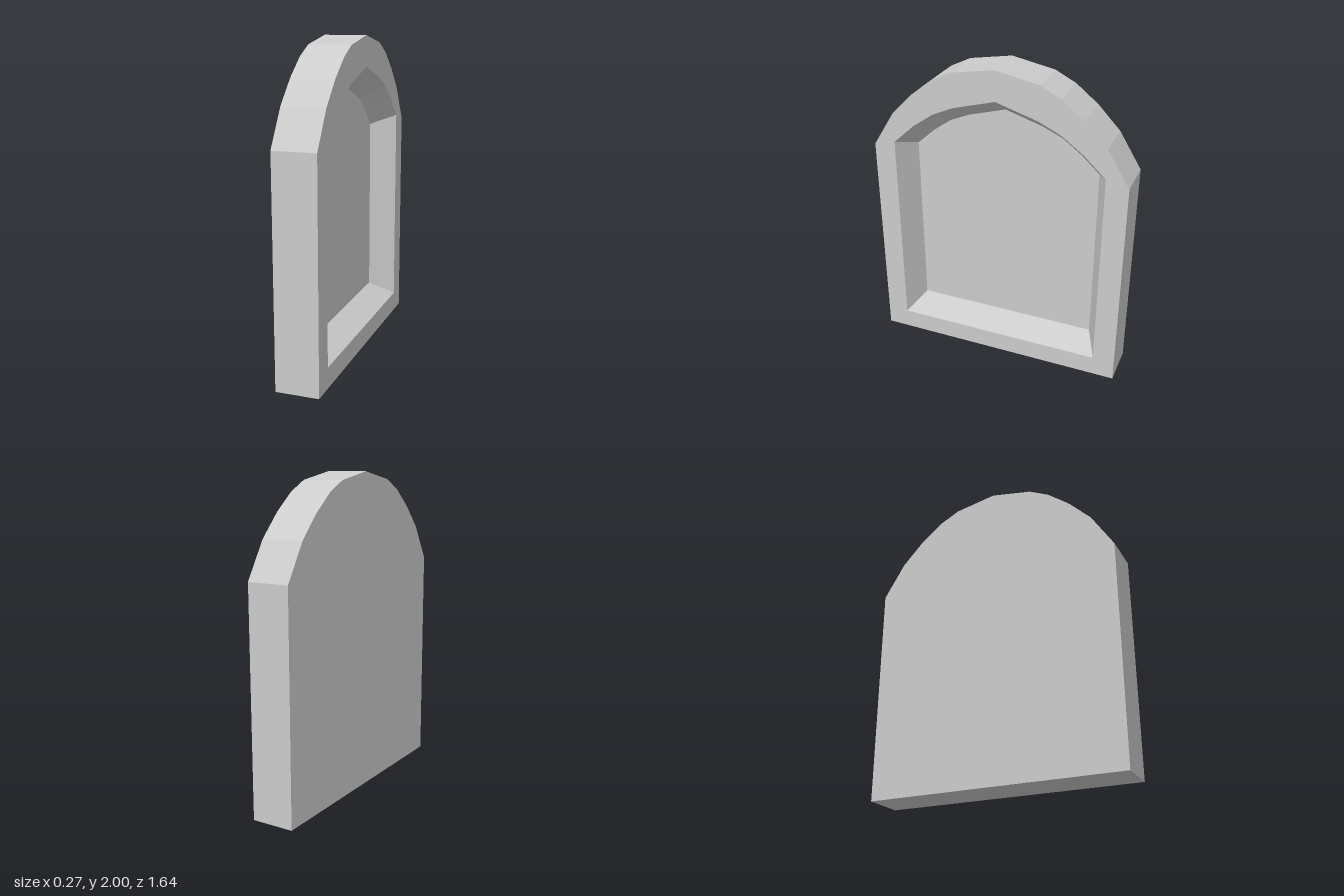
import * as THREE from 'three';

const HALF = 0.135;   // half thickness of the slab
const FLOOR = -0.03;  // depth position of the recess floor

// Right half of each arched outline, from bottom corner up to the apex
const OUTER = [[0.82, 0], [0.82, 1.405], [0.68, 1.63], [0.54, 1.775], [0.4, 1.885], [0.27, 1.95], [0, 2]];
const OPENING = [[0.68, 0.13], [0.68, 1.44], [0.54, 1.57], [0.405, 1.667], [0.27, 1.73], [0, 1.81]];
const INNER = [[0.6, 0.217], [0.6, 1.38], [0.483, 1.487], [0.365, 1.573], [0.24, 1.628], [0, 1.7]];

// Mirrors a half outline into a closed counter-clockwise loop
function mirror(half) {
  const left = half.slice(0, -1).reverse().map(([u, y]) => [-u, y]);
  return [...half, ...left].map(([u, y]) => new THREE.Vector2(u, y));
}

// Band of faces joining two matching loops at different depths
function wall(a, depthA, b, depthB) {
  const pos = [];
  a.forEach((p, i) => {
    const j = (i + 1) % a.length;
    const p0 = [p.x, p.y, depthA], p1 = [a[j].x, a[j].y, depthA];
    const q0 = [b[i].x, b[i].y, depthB], q1 = [b[j].x, b[j].y, depthB];
    pos.push(...p0, ...p1, ...q1, ...p0, ...q1, ...q0);
  });
  const geo = new THREE.BufferGeometry();
  geo.setAttribute('position', new THREE.Float32BufferAttribute(pos, 3));
  geo.computeVertexNormals();
  return geo;
}

// Flat face bounded by a loop, optionally with a hole
function cap(loop, depth, hole) {
  const shape = new THREE.Shape(loop);
  if (hole) shape.holes.push(new THREE.Path(hole));
  return new THREE.ShapeGeometry(shape).translate(0, 0, depth);
}

export function createModel() {
  const group = new THREE.Group();
  group.name = 'archedNiche';
  const material = new THREE.MeshStandardMaterial({ color: 0xcccccc, flatShading: true });
  const outer = mirror(OUTER), opening = mirror(OPENING), inner = mirror(INNER);

  const add = (name, geometry) => {
    // Turn the recessed face towards +x
    const mesh = new THREE.Mesh(geometry.rotateY(Math.PI / 2), material);
    mesh.name = name;
    group.add(mesh);
  };

  add('outerEdge', wall(outer, -HALF, outer, HALF));
  add('frameRim', cap(outer, HALF, opening));
  add('recessWalls', wall(opening, HALF, inner, FLOOR));
  add('recessPanel', cap(inner, FLOOR));
  add('backFace', cap(outer, HALF).rotateY(Math.PI));

  return group;
}
